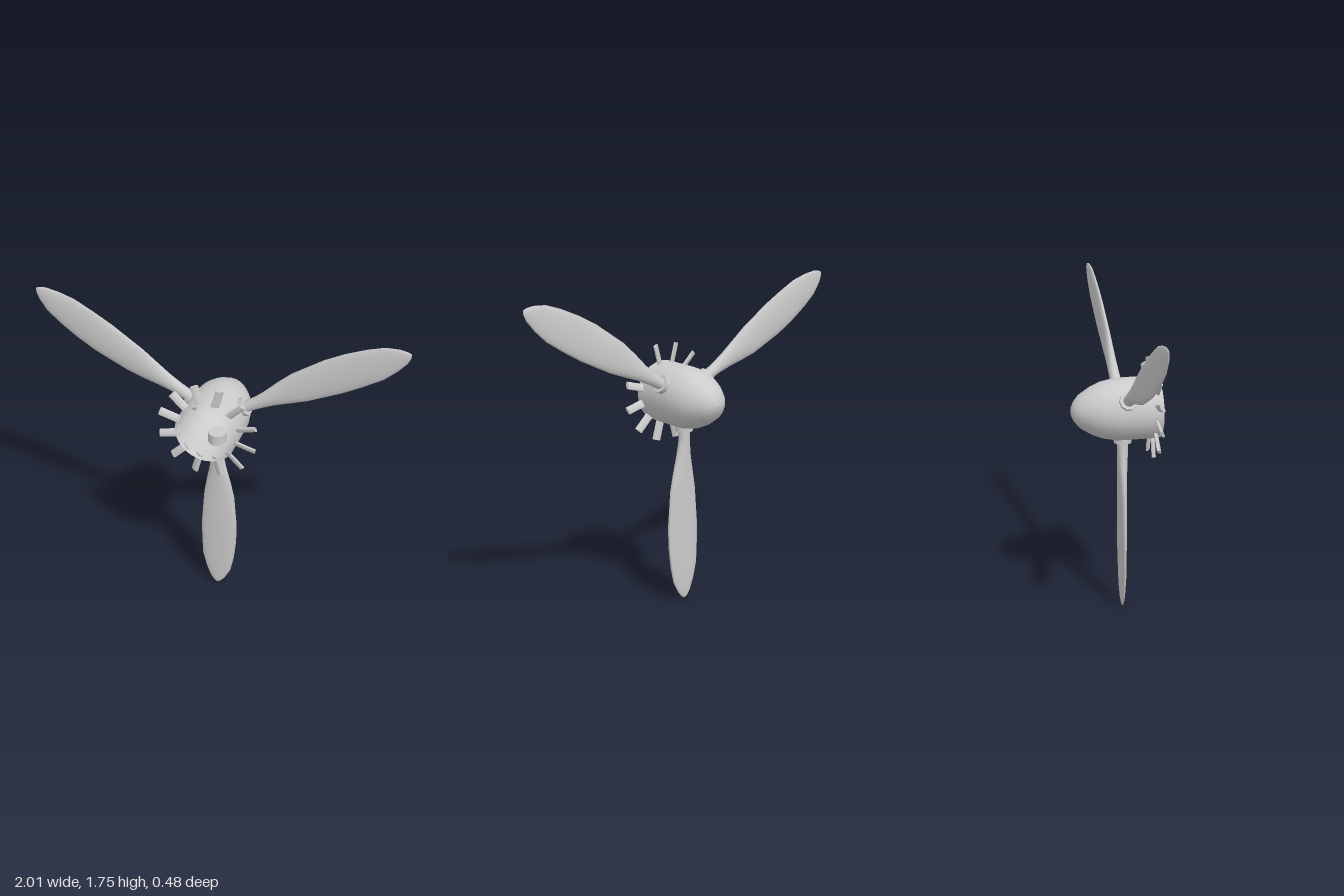
import * as THREE from 'three';
import { toCreasedNormals } from 'three/addons/utils/BufferGeometryUtils.js';

const HUB_Y = 1.157;
const BLADE_Z = 0.046;

// Blade stations: distance from hub axis, left edge x, right edge x, half thickness
const STATIONS = [
  [0.12, -0.031, 0.031, 0.031],
  [0.19, -0.031, 0.031, 0.031],
  [0.25, -0.033, 0.034, 0.029],
  [0.33, -0.041, 0.051, 0.027],
  [0.42, -0.058, 0.076, 0.024],
  [0.52, -0.075, 0.098, 0.022],
  [0.72, -0.09, 0.114, 0.019],
  [0.84, -0.09, 0.111, 0.017],
  [0.96, -0.085, 0.097, 0.015],
  [1.05, -0.064, 0.078, 0.013],
  [1.115, -0.04, 0.045, 0.01],
  [1.145, -0.019, 0.02, 0.006],
  [1.157, -0.002, 0.002, 0.001],
];

// Smooth loft through elliptical sections, running down -y
function bladeGeometry(sides = 14) {
  const pos = [], index = [];
  STATIONS.forEach(([d, left, right, half], i) => {
    const mid = (left + right) / 2, w = (right - left) / 2;
    for (let j = 0; j < sides; j++) {
      const t = (j / sides) * Math.PI * 2;
      pos.push(mid + w * Math.cos(t), -d, half * Math.sin(t));
      if (i < STATIONS.length - 1) {
        const a = i * sides + j, b = i * sides + (j + 1) % sides;
        index.push(a, b, a + sides, b, b + sides, a + sides);
      }
    }
  });
  const geo = new THREE.BufferGeometry();
  geo.setAttribute('position', new THREE.Float32BufferAttribute(pos, 3));
  geo.setIndex(index);
  geo.computeVertexNormals();
  return geo;
}

export function createModel() {
  const model = new THREE.Group();
  model.name = 'propeller';
  const grey = new THREE.MeshStandardMaterial({ color: 0xcccccc });
  const greyThin = new THREE.MeshStandardMaterial({ color: 0xcccccc, side: THREE.DoubleSide });

  const add = (parent, name, geo, mat = grey) => {
    const mesh = new THREE.Mesh(geo, mat);
    mesh.name = name;
    parent.add(mesh);
    return mesh;
  };

  const hub = new THREE.Group();
  hub.name = 'hub';
  hub.position.y = HUB_Y;
  model.add(hub);

  // Hollow spinner shell, open at +z, nose towards -z
  const profile = [
    [0.168, -0.237], [0.169, -0.1], [0.168, -0.01], [0.153, 0.07], [0.128, 0.13],
    [0.09, 0.19], [0.055, 0.22], [0.025, 0.234], [0, 0.238],
  ].map(([r, y]) => new THREE.Vector2(r, y));
  add(hub, 'spinner', new THREE.LatheGeometry(profile, 24).rotateX(-Math.PI / 2), greyThin);

  // Three blades, each in a short round collar
  const bladeGeo = bladeGeometry();
  const collarGeo = toCreasedNormals(new THREE.CylinderGeometry(0.05, 0.05, 0.08, 10), 0.8);
  for (let i = 0; i < 3; i++) {
    const arm = new THREE.Group();
    arm.name = 'bladeArm' + (i + 1);
    arm.rotation.z = (i * Math.PI * 2) / 3;
    arm.position.z = BLADE_Z;
    hub.add(arm);
    add(arm, 'blade', bladeGeo);
    add(arm, 'collar', collarGeo).position.y = -0.148;
  }

  // Ring of twelve flattened, pitched stubs near the open end
  const stubGeo = toCreasedNormals(
    new THREE.CylinderGeometry(1, 1, 0.115, 10).scale(0.0225, 1, 0.01)
      .rotateY(Math.PI / 6).translate(0, 0.2145, 0), 0.9);
  for (let i = 0; i < 12; i++) {
    const stub = add(hub, 'stub' + (i + 1), stubGeo);
    stub.position.z = 0.203;
    stub.rotation.z = ((i + 0.5) * Math.PI) / 6;
  }
  return model;
}
